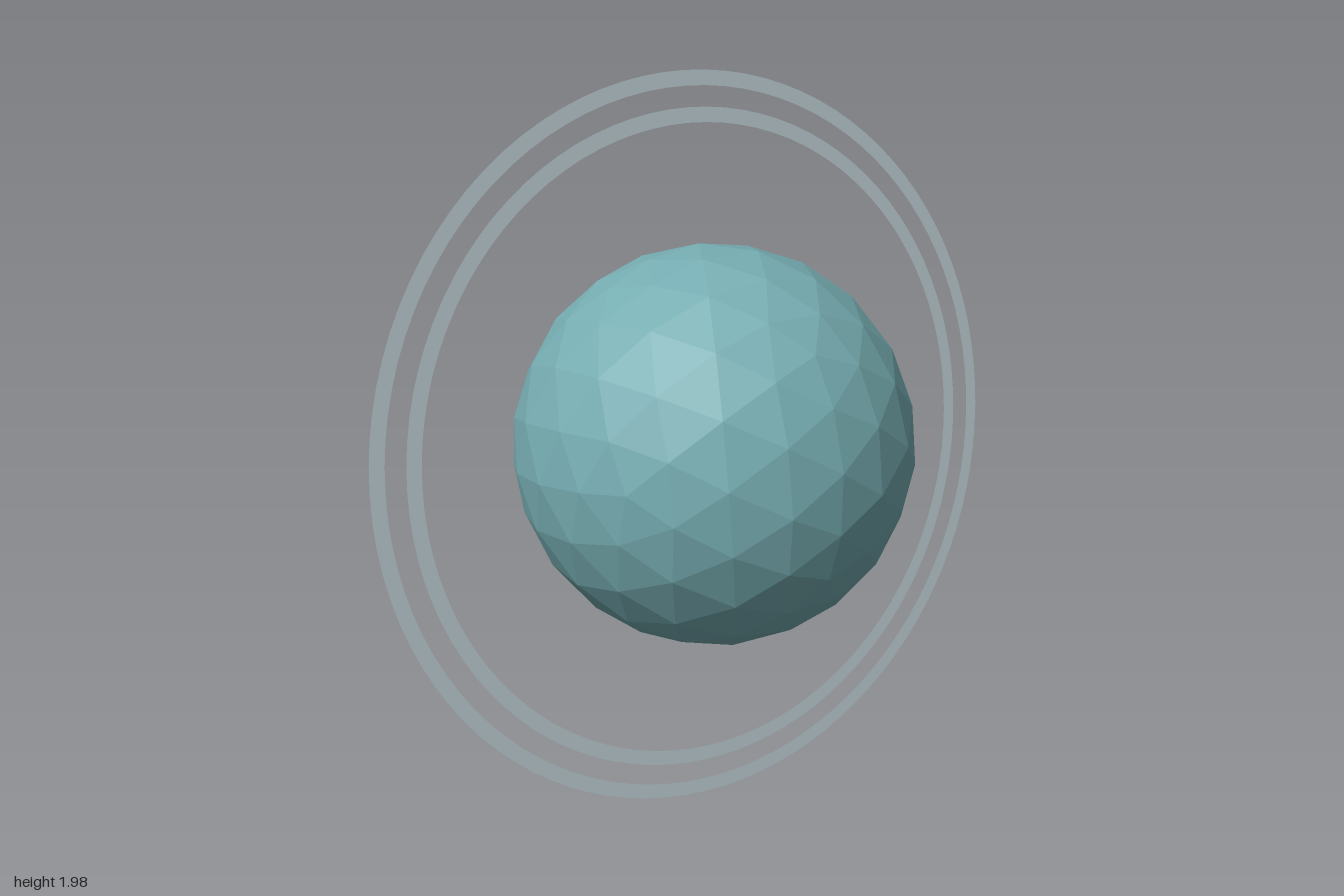
import * as THREE from 'three';

// Tilted low-poly planet with two flat, thin rings standing upright
export function createModel() {
  const planetMat = new THREE.MeshStandardMaterial({ color: 0x76adb2, flatShading: true });
  planetMat.name = 'dusty teal';
  const ringMat = new THREE.MeshStandardMaterial({ color: 0xbfd0d5, side: THREE.DoubleSide });
  ringMat.name = 'pale grey blue';

  const tilt = THREE.MathUtils.degToRad(7.5);
  const planetSystem = new THREE.Group();
  planetSystem.name = 'tiltedPlanet';
  planetSystem.rotation.z = tilt;
  planetSystem.position.y = Math.cos(tilt); // outer ring touches the ground

  // Faceted planet body
  const planetGeo = new THREE.IcosahedronGeometry(0.55, 3);
  planetGeo.rotateX(Math.PI / 2);
  const planet = new THREE.Mesh(planetGeo, planetMat);
  planet.name = 'planet';
  planetSystem.add(planet);

  // Flat rings, facing sideways
  const rings = [
    ['innerRing', 0.865, 0.905],
    ['outerRing', 0.96, 1.0],
  ];
  for (const [name, inner, outer] of rings) {
    const ring = new THREE.Mesh(new THREE.RingGeometry(inner, outer, 96), ringMat);
    ring.name = name;
    ring.rotation.y = Math.PI / 2;
    planetSystem.add(ring);
  }

  const model = new THREE.Group();
  model.name = 'ringedPlanet';
  model.add(planetSystem);
  return model;
}
